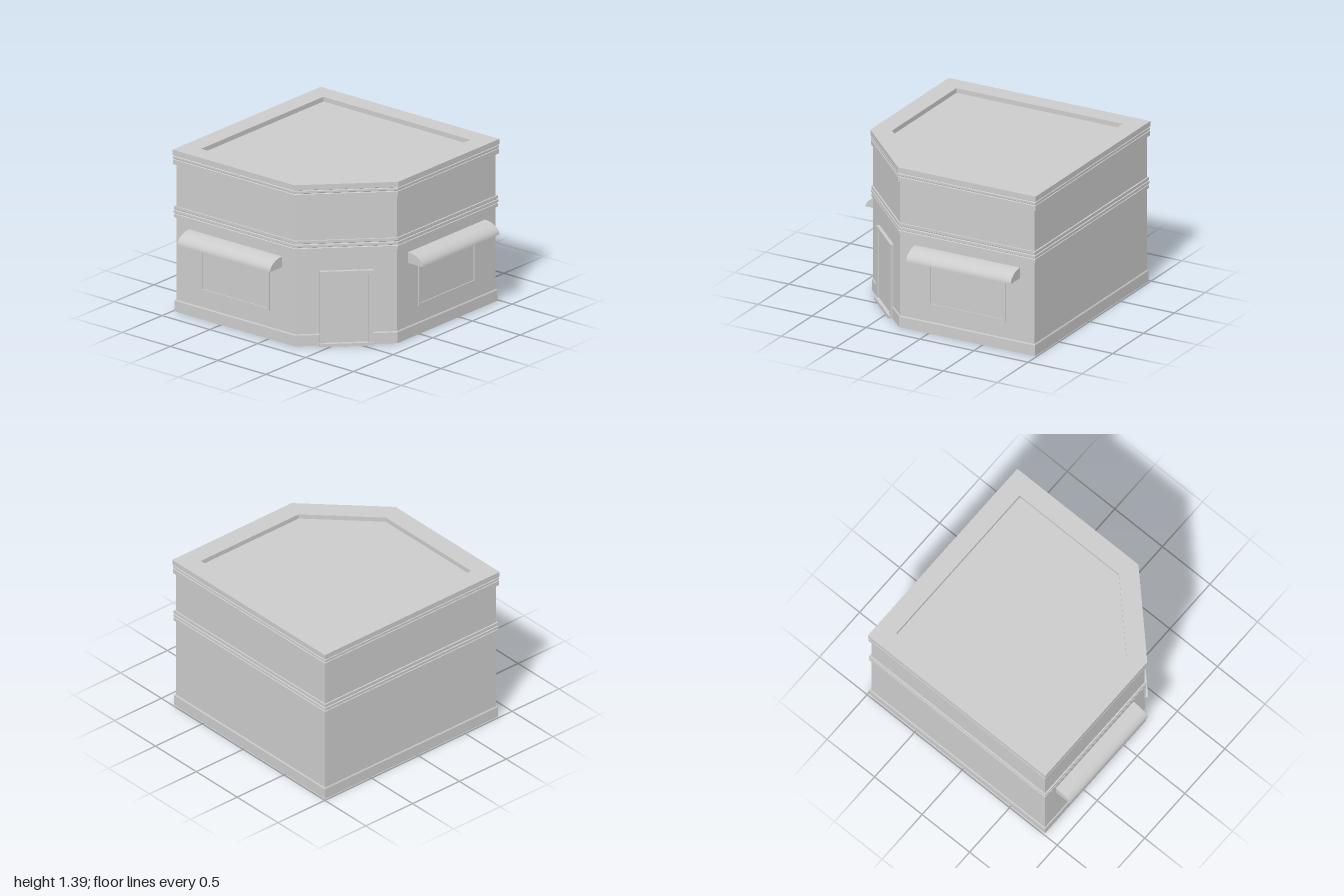
import * as THREE from 'three';
import { toCreasedNormals } from 'three/addons/utils/BufferGeometryUtils.js';

const mat = new THREE.MeshStandardMaterial({ color: 0xcccccc });

function add(parent, name, geometry, x = 0, y = 0, z = 0) {
  const mesh = new THREE.Mesh(geometry, mat);
  mesh.name = name;
  mesh.position.set(x, y, z);
  parent.add(mesh);
  return mesh;
}

// Square plan with one cut corner, grown outwards by d
function plan(d) {
  const x0 = -0.85 - d, x1 = 0.975 + d, z0 = -0.975 - d, z1 = 0.85 + d;
  const k = 1.12 + Math.SQRT2 * d;
  return [[x1, z1], [x1, z0], [x0, z0], [x0, k + x0], [z1 - k, z1]];
}

// Closed solid through plan rings; profile is a list of [growth, height]
function loft(profile) {
  const rings = profile.map(([d, y]) => plan(d).map(([x, z]) => [x, y, z]));
  const pos = [];
  const tri = (a, b, c) => pos.push(...a, ...b, ...c);
  for (let r = 0; r < rings.length - 1; r++) {
    const lo = rings[r], hi = rings[r + 1];
    lo.forEach((a, i) => {
      const j = (i + 1) % lo.length;
      tri(a, lo[j], hi[j]);
      tri(a, hi[j], hi[i]);
    });
  }
  const bottom = rings[0], top = rings[rings.length - 1];
  for (let i = 1; i < top.length - 1; i++) {
    tri(top[0], top[i], top[i + 1]);
    tri(bottom[0], bottom[i + 1], bottom[i]);
  }
  const g = new THREE.BufferGeometry();
  g.setAttribute('position', new THREE.Float32BufferAttribute(pos, 3));
  g.computeVertexNormals();
  return g;
}

// Group on a wall: local x runs along the wall, local z points outwards
function wallGroup(parent, name, x, z, angle) {
  const g = new THREE.Group();
  g.name = name;
  g.position.set(x, 0, z);
  g.rotation.y = angle;
  parent.add(g);
  return g;
}

const rect = (C, w, y0, y1) => new C([[-w, y0], [w, y0], [w, y1], [-w, y1]]
  .map(([x, y]) => new THREE.Vector2(x / 2, y)));

function addShopWindow(g) {
  const frame = rect(THREE.Shape, 0.715, 0.24, 0.63);
  frame.holes.push(rect(THREE.Path, 0.675, 0.26, 0.607));
  add(g, 'windowFrame', new THREE.ExtrudeGeometry(frame, { depth: 0.01, bevelEnabled: false }));
  add(g, 'windowPane', new THREE.BoxGeometry(0.675, 0.347, 0.004), 0, 0.4335, 0);

  // Awning: quarter ellipse swept along the wall
  const s = new THREE.Shape();
  s.moveTo(0, 0.645);
  s.lineTo(0.15, 0.645);
  s.absellipse(0, 0.645, 0.15, 0.092, 0, Math.PI / 2, false);
  const awning = new THREE.ExtrudeGeometry(s, { depth: 0.97, bevelEnabled: false, curveSegments: 14 });
  awning.rotateY(-Math.PI / 2).translate(0.485, 0, 0);
  add(g, 'awning', toCreasedNormals(awning, 0.6));
}

function addDoor(g) {
  add(g, 'doorStep', new THREE.BoxGeometry(0.44, 0.025, 0.045), 0, 0.0125, 0.0225);
  // Frame open at the bottom
  const u = new THREE.Shape([[-0.215, 0.02], [-0.18, 0.02], [-0.18, 0.607], [0.18, 0.607],
    [0.18, 0.02], [0.215, 0.02], [0.215, 0.64], [-0.215, 0.64]].map(p => new THREE.Vector2(...p)));
  add(g, 'doorFrame', new THREE.ExtrudeGeometry(u, { depth: 0.028, bevelEnabled: false }));
  add(g, 'doorPanel', new THREE.BoxGeometry(0.36, 0.587, 0.014), 0, 0.3135, 0.007);
}

export function createModel() {
  const model = new THREE.Group();
  model.name = 'cornerShop';

  add(model, 'walls', loft([[0, 0.05], [0, 1.3]]));
  add(model, 'plinth', loft([[0.01, 0], [0.01, 0.092], [0.006, 0.1]]));

  // Middle band with two grooves
  add(model, 'middleBand', loft([
    [0.013, 0.81], [0.013, 0.838], [0.008, 0.842], [0.008, 0.846], [0.015, 0.85],
    [0.015, 0.87], [0.008, 0.874], [0.008, 0.878], [0.013, 0.882], [0.013, 0.905],
  ]));

  // Grooved cornice, turning inwards to the sunken roof
  add(model, 'corniceAndRoof', loft([
    [0.018, 1.265], [0.018, 1.306], [0.013, 1.31], [0.013, 1.314], [0.018, 1.318],
    [0.018, 1.334], [0.013, 1.338], [0.013, 1.342], [0.021, 1.346],
    [0.021, 1.39], [-0.142, 1.39], [-0.142, 1.35],
  ]));

  addShopWindow(wallGroup(model, 'frontWindow', 0.355, 0.85, 0));
  addShopWindow(wallGroup(model, 'rightWindow', -0.85, -0.355, -Math.PI / 2));
  addDoor(wallGroup(model, 'cornerDoor', -0.56, 0.56, -Math.PI / 4));
  return model;
}
